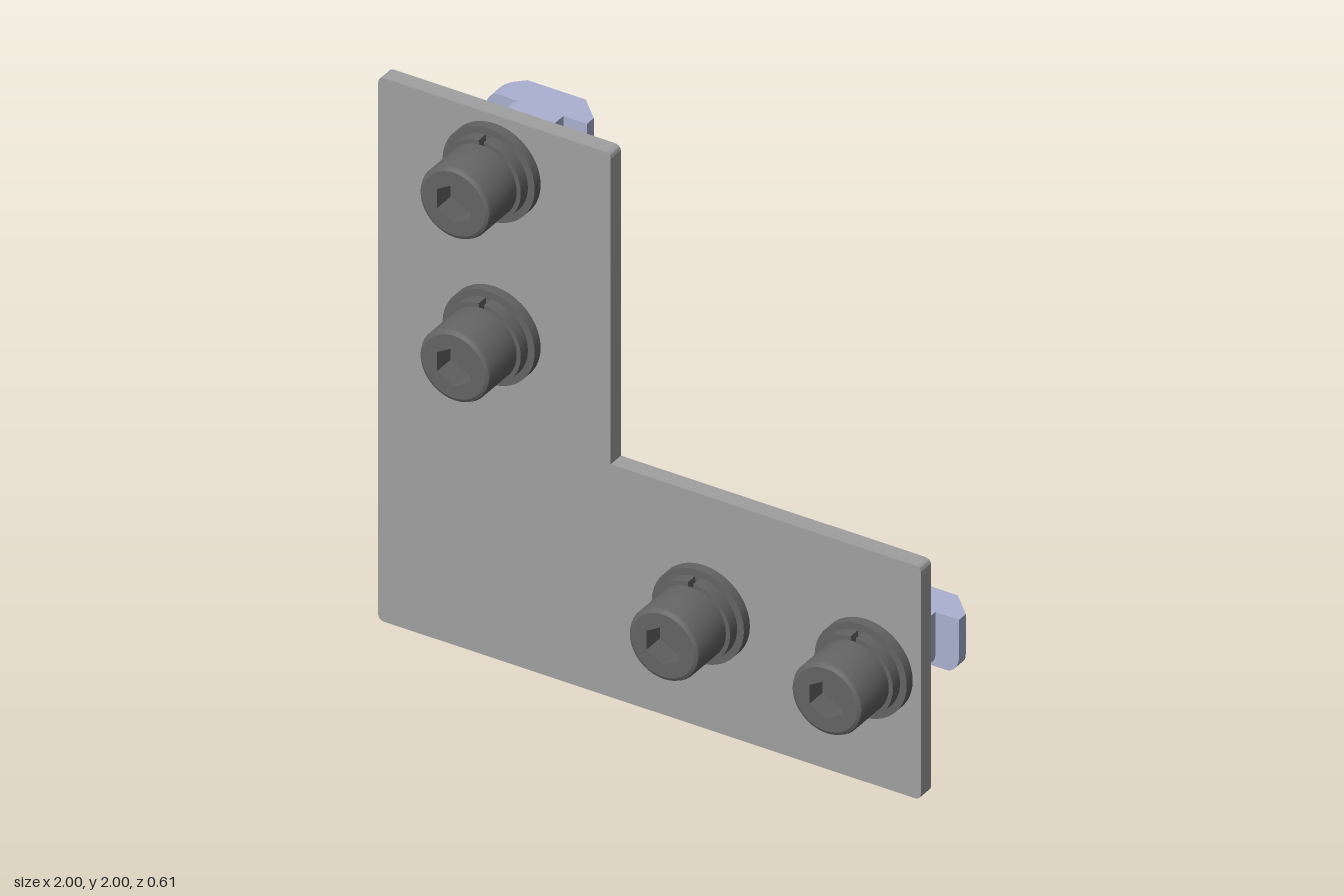
import * as THREE from 'three';
import { toCreasedNormals } from 'three/addons/utils/BufferGeometryUtils.js';

const plateMat = new THREE.MeshStandardMaterial({ name: 'plate grey', color: 0xa0a0a0 });
const boltMat = new THREE.MeshStandardMaterial({ name: 'dark steel', color: 0x646464 });
const nutMat = new THREE.MeshStandardMaterial({ name: 'pale blue zinc', color: 0xaab1d0 });

function mesh(name, geometry, material) {
  const m = new THREE.Mesh(toCreasedNormals(geometry, 0.6), material);
  m.name = name;
  return m;
}

// Profile of [radius, z] pairs turned around the z axis
function turned(points, segments = 40) {
  const g = new THREE.LatheGeometry(points.map(([r, z]) => new THREE.Vector2(r, z)), segments);
  return g.rotateX(Math.PI / 2);
}

// Flat shape pushed from z0 to z1
function slab(shape, z0, z1) {
  const g = new THREE.ExtrudeGeometry(shape, { depth: z1 - z0, bevelEnabled: false, curveSegments: 20 });
  return g.translate(0, 0, z0);
}

function circlePath(x, y, r) {
  return new THREE.Path().absarc(x, y, r, 0, Math.PI * 2, true);
}

// Polygon whose corners [x, y, radius] may be rounded
function roundedShape(corners) {
  const s = new THREE.Shape();
  const n = corners.length;
  corners.forEach(([x, y, r], i) => {
    const c = new THREE.Vector2(x, y);
    const toward = ([px, py]) =>
      new THREE.Vector2(px, py).sub(c).normalize().multiplyScalar(r).add(c);
    const a = toward(corners[(i + n - 1) % n]);
    const b = toward(corners[(i + 1) % n]);
    if (i === 0) s.moveTo(a.x, a.y);
    else s.lineTo(a.x, a.y);
    if (r > 0) s.quadraticCurveTo(x, y, b.x, b.y);
  });
  s.closePath();
  return s;
}

const spots = [[-0.571, 1.8], [-0.571, 1.2], [0.2, 0.43], [0.8, 0.43]];

function makePlate() {
  const r = 0.025;
  const shape = roundedShape([
    [-1, 0, r], [1, 0, r], [1, 0.857, r], [-0.143, 0.857, 0], [-0.143, 2, r], [-1, 2, r],
  ]);
  for (const [x, y] of spots) shape.holes.push(circlePath(x, y, 0.085));
  return mesh('cornerPlate', slab(shape, 0, 0.06), plateMat);
}

function makeBolt() {
  const g = new THREE.Group();
  g.name = 'bolt';

  // Flat washer
  g.add(mesh('flatWasher', turned([
    [0.075, 0.06], [0.17, 0.06], [0.17, 0.095], [0.075, 0.095],
  ]), boltMat));

  // Spring washer, split at the top
  const ring = new THREE.Shape();
  const gap = 0.07;
  const start = Math.PI / 2 + gap, end = Math.PI * 2.5 - gap;
  ring.absarc(0, 0, 0.145, start, end, false);
  ring.absarc(0, 0, 0.08, end, start, true);
  g.add(mesh('springWasher', slab(ring, 0.095, 0.137), boltMat));

  // Cap head with chamfered rim
  g.add(mesh('headSide', turned([
    [0, 0.137], [0.13, 0.137], [0.13, 0.285], [0.126, 0.294], [0.115, 0.3],
  ]), boltMat));

  // Head face with hexagonal socket
  const face = new THREE.Shape().absarc(0, 0, 0.115, 0, Math.PI * 2, false);
  const hex = [];
  for (let i = 0; i < 6; i++) {
    const a = Math.PI / 2 - i * Math.PI / 3;
    hex.push(new THREE.Vector2(0.07 * Math.cos(a), 0.07 * Math.sin(a)));
  }
  face.holes.push(new THREE.Path(hex));
  g.add(mesh('headFace', slab(face, 0.22, 0.3), boltMat));
  const floor = new THREE.CircleGeometry(0.07, 6).rotateZ(Math.PI / 6).translate(0, 0, 0.221);
  g.add(mesh('socketFloor', floor, boltMat));

  // Shank with a narrow relief next to the plate
  g.add(mesh('shank', turned([
    [0, -0.17], [0.069, -0.17], [0.069, -0.132], [0.078, -0.132],
    [0.078, -0.027], [0.067, -0.027], [0.067, 0.1],
  ], 32), boltMat));
  return g;
}

// Chamfered nut wing towards +x with its lower corner rounded off
function wingGeometry() {
  const stations = [[0.107, -0.1]];
  for (let i = 0; i <= 8; i++) {
    const a = (i / 8) * Math.PI / 2;
    stations.push([0.14 + 0.047 * Math.sin(a), -0.1 + 0.065 * (1 - Math.cos(a))]);
  }
  const rings = stations.map(([x, low]) => {
    const back = -0.305 + (x - 0.107);
    return [[x, low, -0.185], [x, 0.1, -0.185], [x, 0.1, back], [x, low, back]];
  });
  const pos = [];
  const quad = (a, b, c, d) => pos.push(...a, ...b, ...c, ...a, ...c, ...d);
  for (let i = 0; i < rings.length - 1; i++) {
    for (let k = 0; k < 4; k++) {
      const n = (k + 1) % 4;
      quad(rings[i][k], rings[i + 1][k], rings[i + 1][n], rings[i][n]);
    }
  }
  const [a, b, c, d] = rings[rings.length - 1];
  quad(a, d, c, b);
  const g = new THREE.BufferGeometry();
  g.setAttribute('position', new THREE.Float32BufferAttribute(pos, 3));
  return g;
}

function makeNut() {
  const g = new THREE.Group();
  g.name = 'hammerNut';

  // Neck that sits in the slot, two opposite corners rounded
  const neck = roundedShape([[-0.1, -0.1, 0], [0.1, -0.1, 0.05], [0.1, 0.1, 0], [-0.1, 0.1, 0.05]]);
  neck.holes.push(circlePath(0, 0, 0.07));
  g.add(mesh('nutNeck', slab(neck, -0.185, -0.132), nutMat));

  // Middle block
  const block = roundedShape([[-0.107, -0.1, 0], [0.107, -0.1, 0], [0.107, 0.1, 0], [-0.107, 0.1, 0]]);
  block.holes.push(circlePath(0, 0, 0.085));
  g.add(mesh('nutBlock', slab(block, -0.305, -0.185), nutMat));

  // Countersunk bore
  g.add(mesh('nutBore', turned([[0.07, -0.132], [0.07, -0.29], [0.085, -0.305]], 32), nutMat));

  // Wings, the second turned half a circle
  for (const turn of [0, Math.PI]) {
    g.add(mesh('nutWing', wingGeometry().rotateZ(turn), nutMat));
  }
  return g;
}

export function createModel() {
  const model = new THREE.Group();
  model.name = 'cornerBracket';
  model.add(makePlate());
  for (const [x, y] of spots) {
    const fastener = new THREE.Group();
    fastener.name = 'fastener';
    fastener.add(makeBolt(), makeNut());
    fastener.position.set(x, y, 0);
    model.add(fastener);
  }
  return model;
}
